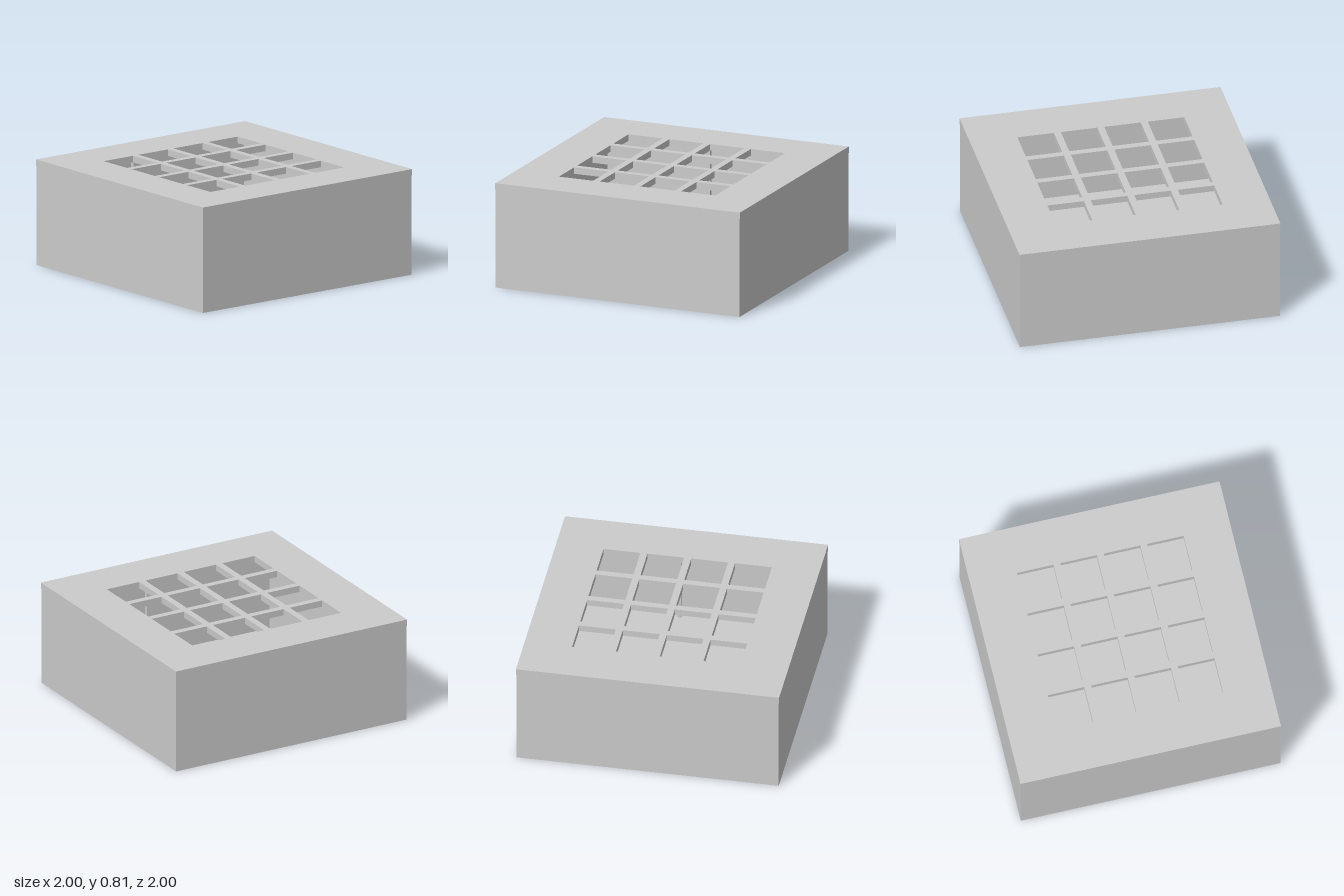
import * as THREE from 'three';

const material = new THREE.MeshStandardMaterial({ color: 0xcccccc, flatShading: true });

// Closed rectangle outline around a centre point
function rectangle(Type, x, y, size) {
  const h = size / 2;
  return new Type([[-h, -h], [h, -h], [h, h], [-h, h]].map(([a, b]) => new THREE.Vector2(x + a, y + b)));
}

// Shape extruded upwards from the given height
function slab(name, shape, bottom, height) {
  const geometry = new THREE.ExtrudeGeometry(shape, { depth: height, bevelEnabled: false });
  geometry.rotateX(-Math.PI / 2);
  const mesh = new THREE.Mesh(geometry, material);
  mesh.name = name;
  mesh.position.y = bottom;
  return mesh;
}

function box(name, [w, h, d], [x, y, z]) {
  const mesh = new THREE.Mesh(new THREE.BoxGeometry(w, h, d), material);
  mesh.name = name;
  mesh.position.set(x, y, z);
  return mesh;
}

export function createModel() {
  const model = new THREE.Group();
  model.name = 'ventedBox';

  // Hollow body: floor plate and four thin walls
  const floorTop = 0.05, lidBottom = 0.76, lidTop = 0.81;
  model.add(slab('floor', rectangle(THREE.Shape, 0, 0, 1.994), 0, floorTop));
  const walls = rectangle(THREE.Shape, 0, 0, 1.994);
  walls.holes.push(rectangle(THREE.Path, 0, 0, 1.9));
  model.add(slab('walls', walls, floorTop, lidBottom - floorTop));

  // Lid with a four by four grid of square openings
  const lid = rectangle(THREE.Shape, 0, 0, 2);
  const pitch = 0.333;
  for (let i = 0; i < 4; i++) {
    for (let j = 0; j < 4; j++) {
      lid.holes.push(rectangle(THREE.Path, (i - 1.5) * pitch, (j - 1.5) * pitch, 0.28));
    }
  }
  model.add(slab('lid', lid, lidBottom, lidTop - lidBottom));

  // Slim posts on the front and back inner walls
  for (const side of [-1, 1]) {
    model.add(box('wallPost', [0.03, 0.71, 0.03], [side * 0.115, 0.405, side * 0.935]));
  }

  // Round boss low on the back inner wall
  const boss = new THREE.Mesh(new THREE.CylinderGeometry(0.1, 0.1, 0.04, 24), material);
  boss.name = 'wallBoss';
  boss.rotation.x = Math.PI / 2;
  boss.position.set(-0.62, 0.16, -0.93);
  model.add(boss);

  // Small loose block on the floor
  const block = box('looseBlock', [0.045, 0.045, 0.045], [-0.62, 0.0725, 0.48]);
  block.rotation.y = 0.25;
  model.add(block);

  return model;
}
